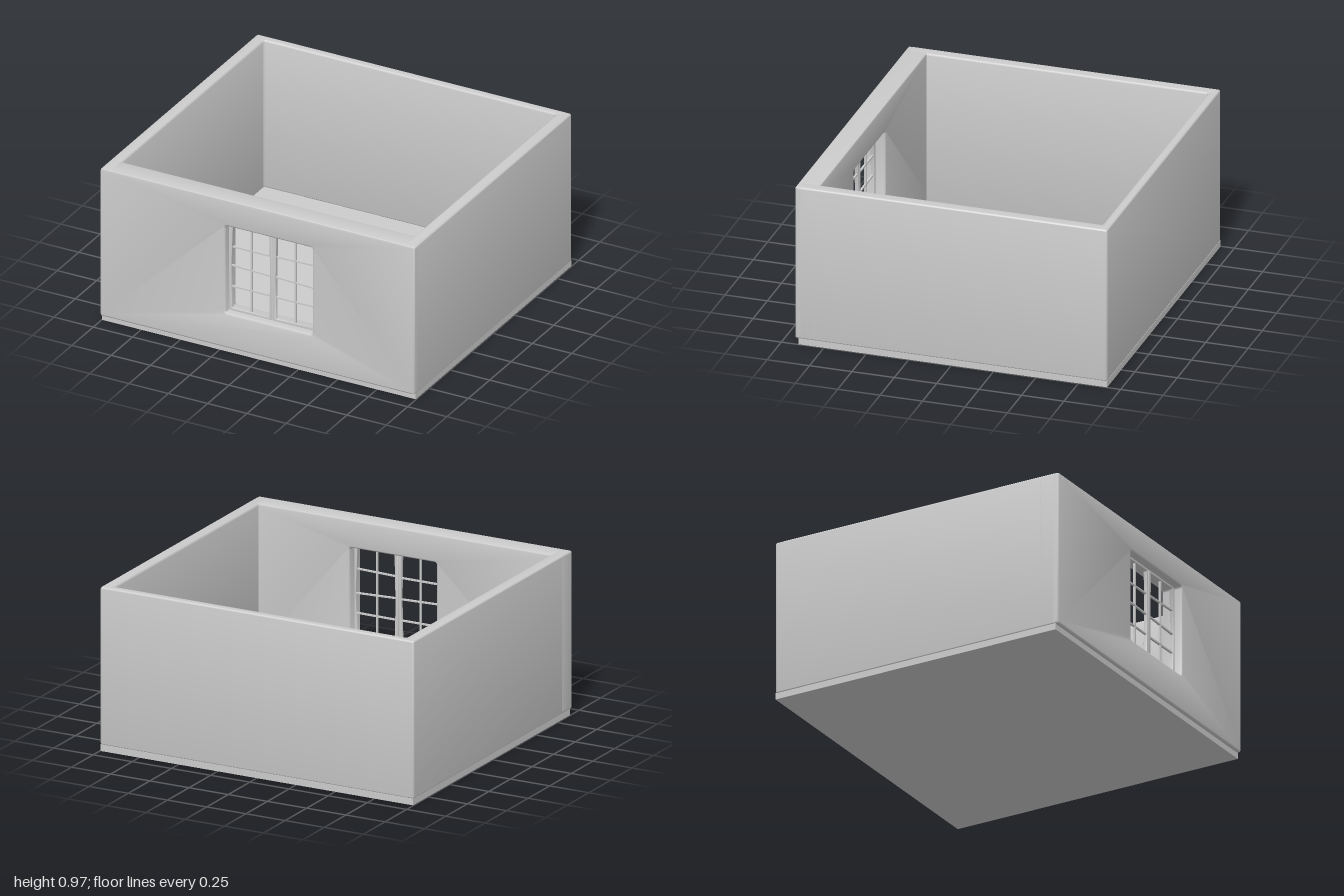
import * as THREE from 'three';
import { toCreasedNormals } from 'three/addons/utils/BufferGeometryUtils.js';

const grey = new THREE.MeshStandardMaterial({ color: 0xcccccc });

// Closed outline with rounded corners
function outline(points, r, Type = THREE.Shape) {
  const path = new Type();
  const v = points.map(([x, y]) => new THREE.Vector2(x, y));
  v.forEach((p, i) => {
    const prev = v[(i + v.length - 1) % v.length], next = v[(i + 1) % v.length];
    const a = prev.clone().sub(p).setLength(r).add(p);
    const b = next.clone().sub(p).setLength(r).add(p);
    if (i === 0) path.moveTo(a.x, a.y); else path.lineTo(a.x, a.y);
    path.quadraticCurveTo(p.x, p.y, b.x, b.y);
  });
  path.closePath();
  return path;
}

const rect = (x0, y0, x1, y1) => [[x0, y0], [x1, y0], [x1, y1], [x0, y1]];

// Extrusion from z = 0 to z = depth, edges softened inside the outline
function solid(shape, depth, bevel) {
  const g = new THREE.ExtrudeGeometry(shape, {
    depth: depth - 2 * bevel, bevelEnabled: true, bevelThickness: bevel,
    bevelSize: bevel, bevelOffset: -bevel, bevelSegments: 3, curveSegments: 4,
  });
  g.translate(0, 0, bevel);
  return toCreasedNormals(g, 0.7);
}

function part(parent, name, geometry) {
  const mesh = new THREE.Mesh(geometry, grey);
  mesh.name = name;
  parent.add(mesh);
  return mesh;
}

export function createModel() {
  const room = new THREE.Group();
  room.name = 'room';
  const base = 0.035, top = 0.965;

  // Floor slab, stopping just short of the front face
  part(room, 'floor', new THREE.BoxGeometry(1.994, base + 0.004, 1.82))
    .position.set(0, (base + 0.004) / 2, -0.01);

  // Back and side walls in one U-shaped plan (plan y = -z)
  const plan = outline([
    [-1, -0.9], [-0.93, -0.9], [-0.93, 0.87], [0.93, 0.87],
    [0.93, -0.9], [1, -0.9], [1, 0.92], [-1, 0.92],
  ], 0.014);
  const walls = solid(plan, top - base, 0.01);
  walls.rotateX(-Math.PI / 2);
  part(room, 'backAndSideWalls', walls).position.y = base;

  // Thicker front wall with the window opening
  const front = outline(rect(-1, base, 1, top), 0.014);
  front.holes.push(outline(rect(-0.205, 0.252, 0.35, 0.802), 0.016, THREE.Path));
  part(room, 'frontWall', solid(front, 0.13, 0.01)).position.z = 0.79;

  // Window: two slightly crooked sashes with thin glazing bars
  const windowGroup = new THREE.Group();
  windowGroup.name = 'window';
  windowGroup.position.z = 0.85;
  room.add(windowGroup);

  const sashes = [
    { name: 'rightSash', outer: [-0.208, 0.067],
      hole: [[-0.187, 0.268], [0.049, 0.266], [0.055, 0.525], [0.05, 0.788], [-0.181, 0.788], [-0.192, 0.53]],
      bars: [[0.4, 0.4], [0.532, 0.524], [0.65, 0.65]], middle: -0.067 },
    { name: 'leftSash', outer: [0.073, 0.353],
      hole: [[0.093, 0.266], [0.335, 0.272], [0.344, 0.52], [0.331, 0.79], [0.096, 0.787], [0.09, 0.52]],
      bars: [[0.398, 0.4], [0.526, 0.516], [0.654, 0.661]], middle: 0.212 },
  ];
  for (const s of sashes) {
    const [x0, x1] = s.outer;
    const frame = outline(rect(x0, 0.249, x1, 0.805), 0.004);
    frame.holes.push(outline(s.hole, 0.004, THREE.Path));
    part(windowGroup, s.name, solid(frame, 0.022, 0.002));

    // Upright bar
    part(windowGroup, 'uprightBar', new THREE.BoxGeometry(0.009, 0.54, 0.012))
      .position.set(s.middle, 0.527, 0.011);

    // Cross bars, each tilted a little
    for (const [ya, yb] of s.bars) {
      const length = Math.hypot(x1 - x0 - 0.016, yb - ya);
      const bar = part(windowGroup, 'crossBar', new THREE.BoxGeometry(length, 0.009, 0.012));
      bar.position.set((x0 + x1) / 2, (ya + yb) / 2, 0.011);
      bar.rotation.z = Math.atan2(yb - ya, x1 - x0);
    }
  }

  // Centre post closing the gap between the sashes
  part(windowGroup, 'centrePost', new THREE.BoxGeometry(0.014, 0.55, 0.014))
    .position.set(0.07, 0.527, 0.011);

  return room;
}
